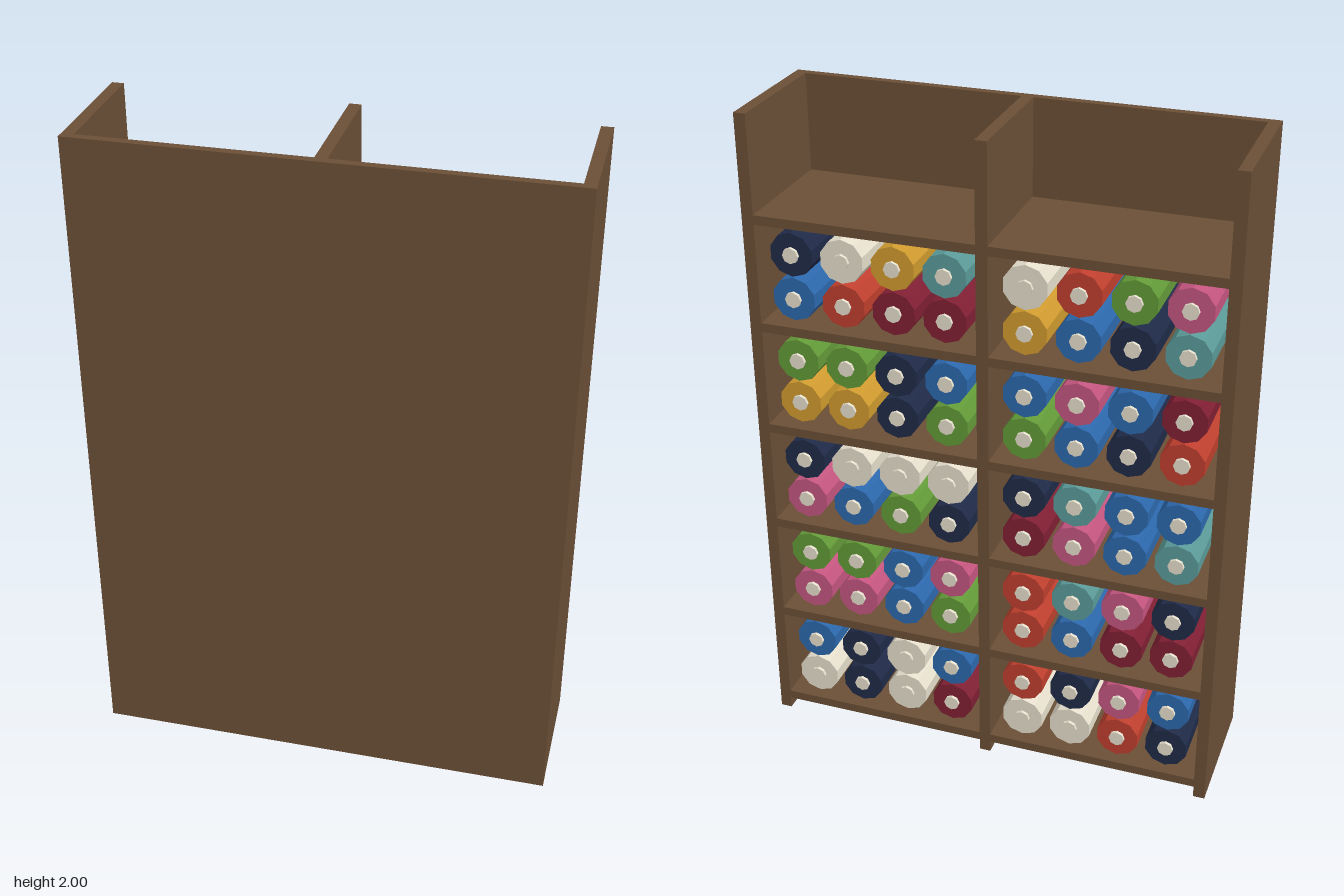
import * as THREE from 'three';

const mat = (name, color, flatShading = false) => {
  const m = new THREE.MeshStandardMaterial({ color, flatShading });
  m.name = name;
  return m;
};

// Bay contents, top bay first: upper row then lower row, listed from the outer +x end towards -x
const LEFT_BAYS = ['NCYT BRDD', 'GGNB YYNG', 'NCCC PBGN', 'GGBP PPBG', 'BNCB CNCD'];
const RIGHT_BAYS = ['CRGP YBNT', 'BPBD GBNR', 'NTBB DPBT', 'RTPN RBDD', 'RNPB CCRN'];

export function createModel() {
  const model = new THREE.Group();
  model.name = 'fabricRollShelf';

  const wood = mat('brown wood', 0x6b4f36);
  const cloth = {
    N: mat('navy', 0x1f2a48, true),
    C: mat('cream', 0xe6dfcd, true),
    Y: mat('gold', 0xcf9a2e, true),
    T: mat('teal', 0x5a9a98, true),
    B: mat('blue', 0x2c68ac, true),
    R: mat('red', 0xbf3f2e, true),
    D: mat('dark red', 0x801f33, true),
    G: mat('green', 0x639a38, true),
    P: mat('pink', 0xc4557f, true),
  };

  const W = 1.41, H = 2, D = 0.41, side = 0.035, back = 0.025;
  const innerD = D - back, innerZ = -back / 2;

  const board = (name, w, h, d, x, y, z) => {
    const mesh = new THREE.Mesh(new THREE.BoxGeometry(w, h, d), wood);
    mesh.name = name;
    mesh.position.set(x, y, z);
    model.add(mesh);
  };

  // Cabinet carcass, open towards -z and at the top
  board('backPanel', W, H, back, 0, H / 2, D / 2 - back / 2);
  board('leftSide', side, H, innerD, W / 2 - side / 2, H / 2, innerZ);
  board('rightSide', side, H, innerD, -W / 2 + side / 2, H / 2, innerZ);
  board('divider', side, H, innerD, 0, H / 2, innerZ);

  // Shelves in both columns
  const bayW = (W - 3 * side) / 2, bayX = side / 2 + bayW / 2;
  const shelfT = 0.028, topShelf = 1.71, pitch = 0.329;
  for (let i = 0; i < 6; i++) {
    for (const s of [1, -1]) {
      board('shelf', bayW, shelfT, innerD, s * bayX, topShelf - i * pitch - shelfT / 2, innerZ);
    }
  }

  // Cloth rolls on pale cores, two rows of four in each bay
  const r = 0.066, step = 0.152;
  const rollGeo = new THREE.CylinderGeometry(r, r, 0.34, 10).rotateX(Math.PI / 2);
  const coreGeo = new THREE.CylinderGeometry(0.024, 0.024, 0.36, 8).rotateX(Math.PI / 2);
  const fillColumn = (bays, cx) => bays.forEach((bay, b) => {
    const floor = topShelf - (b + 1) * pitch;
    bay.split(' ').forEach((row, k) => [...row].forEach((key, i) => {
      const roll = new THREE.Group();
      roll.name = 'clothRoll';
      const body = new THREE.Mesh(rollGeo, cloth[key]);
      body.name = 'rolledCloth';
      const core = new THREE.Mesh(coreGeo, cloth.C);
      core.name = 'rollCore';
      roll.add(body, core);
      roll.position.set(cx + (1.5 - i) * step, floor + (k === 0 ? 0.215 : 0.08), innerZ);
      model.add(roll);
    }));
  });
  fillColumn(LEFT_BAYS, bayX);
  fillColumn(RIGHT_BAYS, -bayX);

  return model;
}
